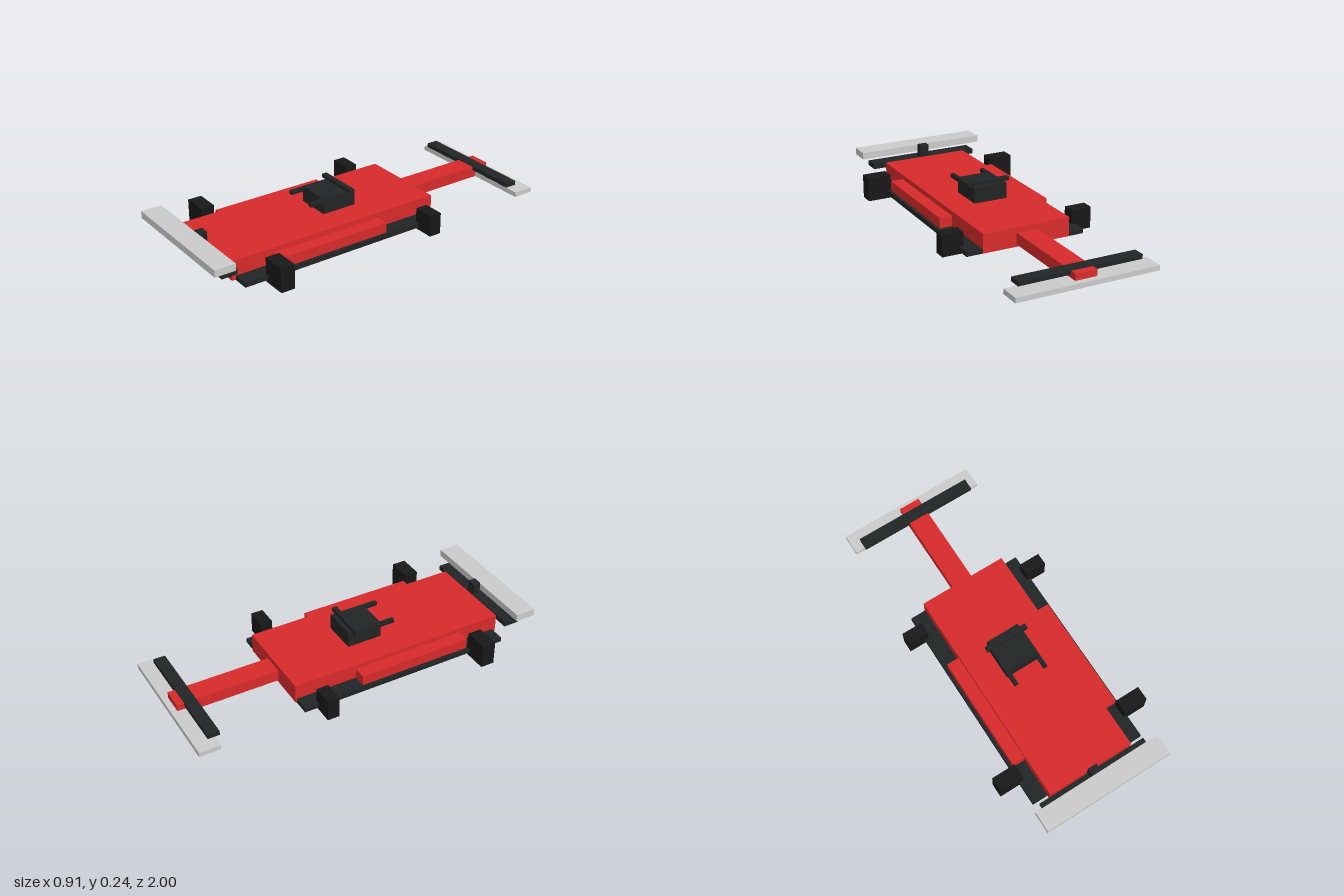
import * as THREE from 'three';

const paint = (color) => new THREE.MeshStandardMaterial({ color });

export function createModel() {
  const car = new THREE.Group();
  car.name = 'racingCar';
  const red = paint(0xd92b2b);
  const black = paint(0x222525);
  const rubber = paint(0x181818);
  const silver = paint(0xd3d7d3);

  // Box given by its extents along each axis
  function block(name, material, [x0, x1], [y0, y1], [z0, z1]) {
    const mesh = new THREE.Mesh(new THREE.BoxGeometry(x1 - x0, y1 - y0, z1 - z0), material);
    mesh.position.set((x0 + x1) / 2, (y0 + y1) / 2, (z0 + z1) / 2);
    mesh.name = name;
    car.add(mesh);
  }
  // Box centred on x = 0
  const centred = (name, material, halfWidth, y, z) =>
    block(name, material, [-halfWidth, halfWidth], y, z);
  // Left and right pair
  function pair(name, material, [x0, x1], y, z) {
    block(name + 'Left', material, [x0, x1], y, z);
    block(name + 'Right', material, [-x1, -x0], y, z);
  }

  // Floor, hull and side pods
  centred('floor', black, 0.338, [0.02, 0.045], [-0.393, 0.818]);
  centred('body', red, 0.249, [0.023, 0.129], [-0.4, 0.84]);
  pair('sidePod', red, [0.24, 0.32], [0.04, 0.102], [-0.045, 0.6]);

  // Narrow boom with its wing and flap
  centred('nose', red, 0.06, [0.037, 0.1], [-0.967, -0.395]);
  centred('noseWing', silver, 0.395, [0.037, 0.064], [-1, -0.885]);
  centred('noseFlap', black, 0.342, [0.08, 0.104], [-0.928, -0.863]);

  // Raised wing, lower plane and post
  centred('highWing', silver, 0.372, [0.153, 0.192], [0.885, 1]);
  centred('lowWing', black, 0.32, [0.097, 0.125], [0.848, 0.935]);
  centred('wingPost', black, 0.026, [0.073, 0.197], [0.842, 0.885]);

  // Wheels
  pair('largeWheel', rubber, [0.317, 0.453], [0, 0.135], [0.61, 0.688]);
  pair('smallWheel', rubber, [0.315, 0.433], [0.006, 0.124], [-0.314, -0.246]);

  // Cockpit with side rails and cross bar
  centred('cockpit', black, 0.096, [0.125, 0.217], [-0.003, 0.194]);
  pair('cockpitRail', black, [0.079, 0.101], [0.192, 0.213], [0.03, 0.275]);
  centred('cockpitBar', black, 0.124, [0.217, 0.238], [0.022, 0.05]);

  return car;
}
